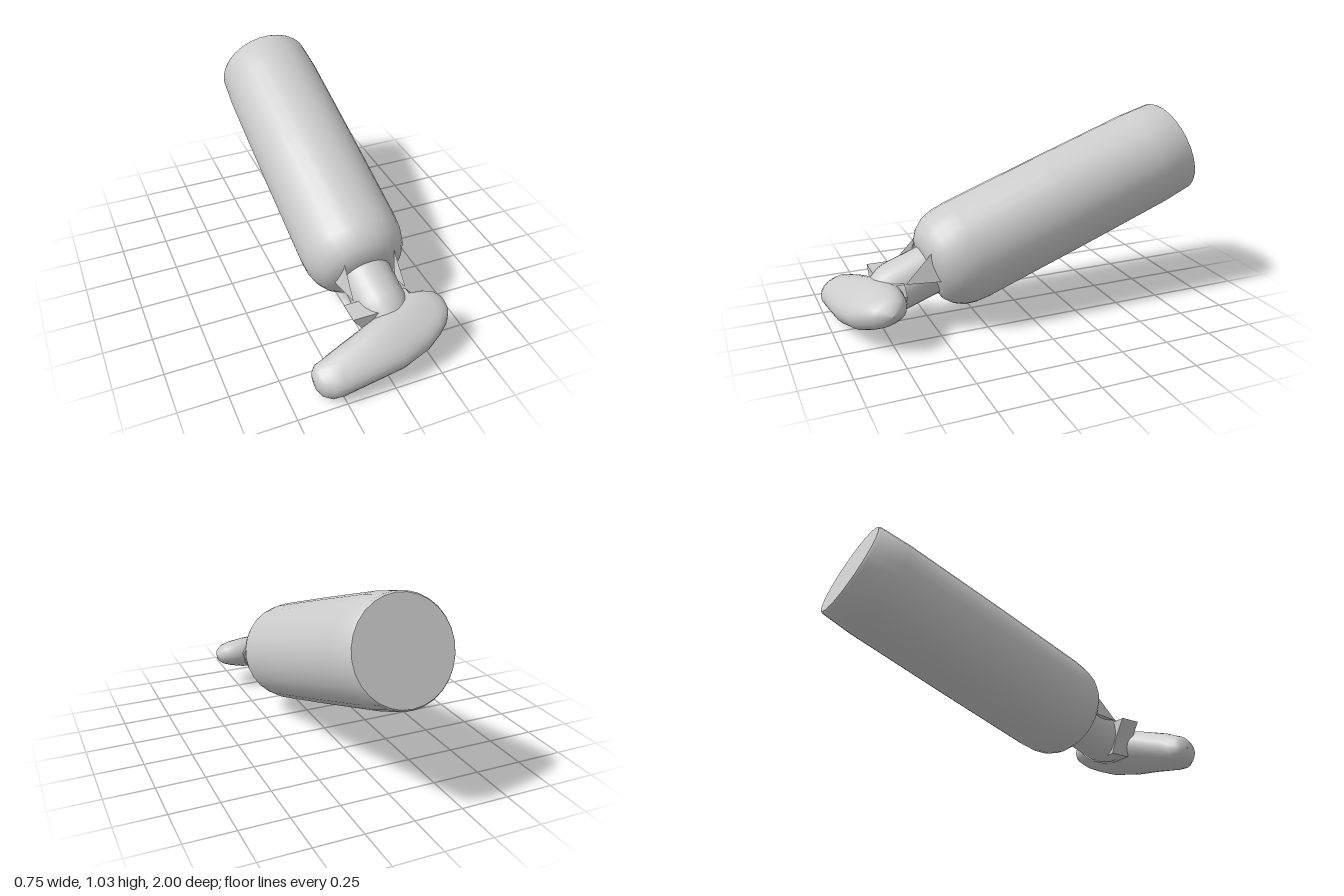
import * as THREE from 'three';
import { toCreasedNormals } from 'three/addons/utils/BufferGeometryUtils.js';
import { ConvexGeometry } from 'three/addons/geometries/ConvexGeometry.js';

const material = new THREE.MeshStandardMaterial({ color: 0xcccccc, side: THREE.DoubleSide });

function part(name, geometry) {
  const mesh = new THREE.Mesh(geometry, material);
  mesh.name = name;
  return mesh;
}

// Turned solid whose axis runs from one point to another; profile is [radius, fraction along axis]
function turned(name, from, to, profile, sides) {
  const a = new THREE.Vector3(...from);
  const dir = new THREE.Vector3(...to).sub(a);
  const length = dir.length();
  const points = profile.map(([r, t]) => new THREE.Vector2(r, t * length));
  const mesh = part(name, toCreasedNormals(new THREE.LatheGeometry(points, sides), 0.7));
  mesh.position.copy(a);
  mesh.quaternion.setFromUnitVectors(new THREE.Vector3(0, 1, 0), dir.normalize());
  return mesh;
}

// Closed loft along x; each section is [x, y, z, half length, half thickness, tilt]
function loft(sections, sides) {
  const pos = [], index = [];
  sections.forEach(([x, y, z, a, b, tilt]) => {
    for (let j = 0; j < sides; j++) {
      const p = (j / sides) * Math.PI * 2;
      const c = Math.cos(p), s = Math.sin(p);
      const u = a * Math.sign(c) * Math.abs(c) ** 0.85;
      const v = b * Math.sign(s) * Math.abs(s) ** 0.85;
      pos.push(x, y + v * Math.cos(tilt) - u * Math.sin(tilt), z + u * Math.cos(tilt) + v * Math.sin(tilt));
    }
  });
  for (let i = 0; i < sections.length - 1; i++) {
    for (let j = 0; j < sides; j++) {
      const k = (j + 1) % sides;
      const a = i * sides + j, d = i * sides + k;
      const b = a + sides, c = d + sides;
      index.push(a, b, d, b, c, d);
    }
  }
  const g = new THREE.BufferGeometry();
  g.setAttribute('position', new THREE.Float32BufferAttribute(pos, 3));
  g.setIndex(index);
  g.computeVertexNormals();
  return g;
}

export function createModel() {
  const model = new THREE.Group();
  model.name = 'model';

  // Long barrel: flat back end, rounded front shoulder
  model.add(turned('barrel', [0.035, 0.795, -0.912], [0.06, 0.29, 0.507], [
    [0, 0], [0.25, 0], [0.258, 0.008], [0.268, 0.12], [0.271, 0.5], [0.27, 0.85], [0.264, 0.9],
    [0.247, 0.94], [0.215, 0.972], [0.175, 0.993], [0.13, 1], [0, 1],
  ], 28));

  // Neck joining the barrel to the foot
  model.add(turned('neck', [0.06, 0.31, 0.45], [0.07, 0.188, 0.8], [
    [0, 0], [0.131, 0], [0.13, 0.66], [0.122, 0.78], [0.095, 0.92], [0, 1],
  ], 24));

  // Slanted foot bar, thicker and higher at its left end
  model.add(part('foot', loft([
    [-0.375, 0.09, 0.885, 0.002, 0.002, 0],
    [-0.37, 0.09, 0.886, 0.045, 0.04, 0.3],
    [-0.35, 0.088, 0.89, 0.075, 0.066, 0.4],
    [-0.31, 0.089, 0.897, 0.094, 0.08, 0.5],
    [-0.26, 0.103, 0.897, 0.106, 0.086, 0.6],
    [-0.1, 0.145, 0.88, 0.125, 0.09, 0.65],
    [0.05, 0.175, 0.855, 0.145, 0.09, 0.62],
    [0.2, 0.193, 0.81, 0.145, 0.085, 0.5],
    [0.28, 0.204, 0.792, 0.118, 0.074, 0.4],
    [0.33, 0.209, 0.782, 0.088, 0.058, 0.35],
    [0.36, 0.211, 0.775, 0.052, 0.036, 0.3],
    [0.375, 0.212, 0.77, 0.002, 0.002, 0],
  ], 24)));

  // Flat-topped wedge behind the foot
  const outline = new THREE.Shape([
    [-0.13, 0.29], [-0.07, 0.2], [-0.03, 0.115], [0.14, 0.115], [0.22, 0.17], [0.24, 0.24], [0.2, 0.29],
  ].map(([x, y]) => new THREE.Vector2(x, y)));
  const wedge = part('wedge', new THREE.ExtrudeGeometry(outline, { depth: 0.11, bevelEnabled: false }));
  wedge.position.z = 0.665;
  model.add(wedge);

  // Thin pointed fins on both sides of the neck
  for (const side of [-1, 1]) {
    const corners = [[0.135, 0.43, 0.525], [0.175, 0.29, 0.48], [0.14, 0.29, 0.66], [0.12, 0.29, 0.58]];
    const points = corners.map(([x, y, z]) => new THREE.Vector3(0.065 + side * x, y, z));
    model.add(part(side > 0 ? 'leftFin' : 'rightFin', new ConvexGeometry(points)));
  }

  return model;
}
